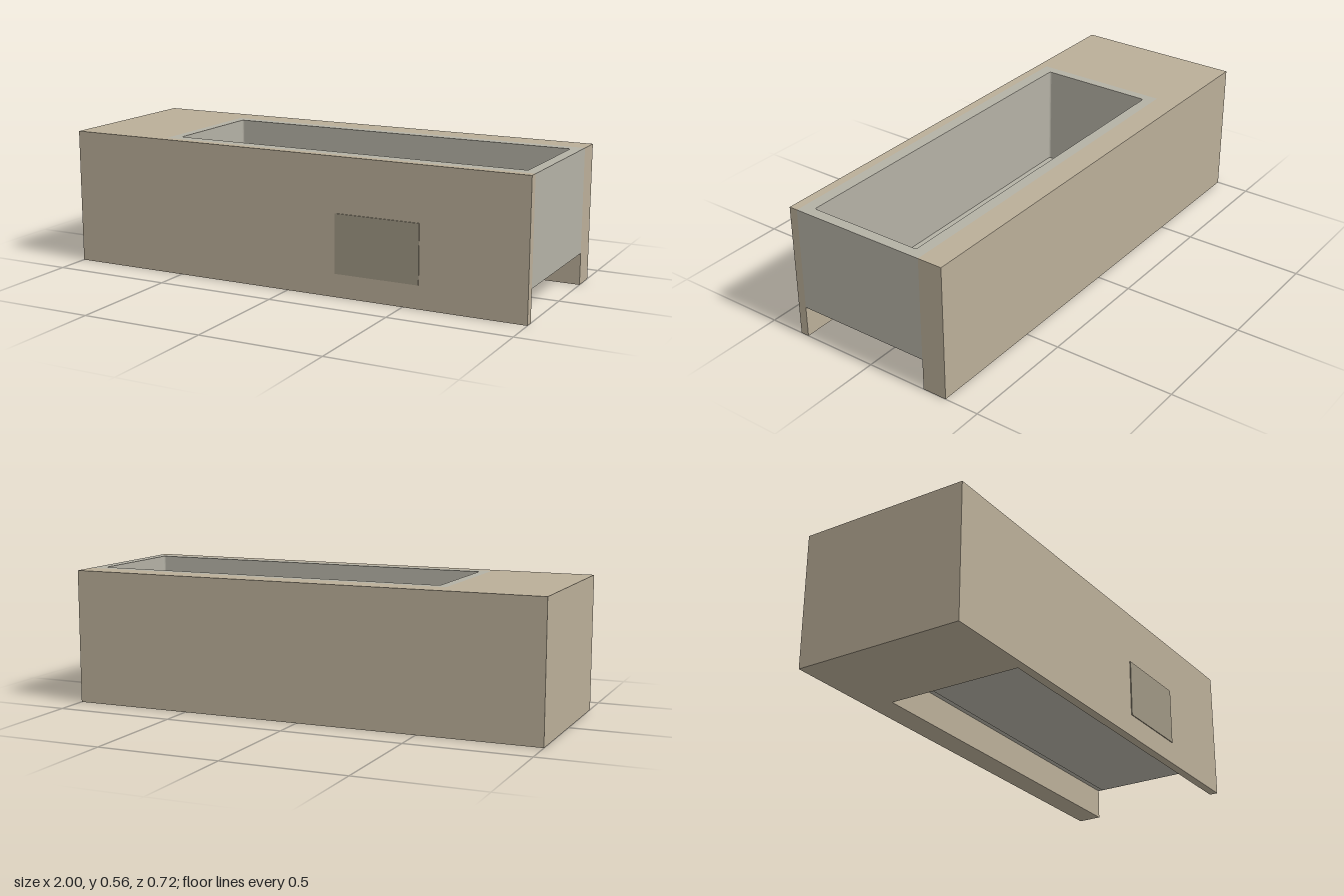
import * as THREE from 'three';

const HEIGHT = 0.558;

// Extrudes a plan drawn in (x, z) upwards from y0 to y1.
function extrudePlan(shape, y0, y1) {
  const geo = new THREE.ExtrudeGeometry(shape, { depth: y1 - y0, bevelEnabled: false, curveSegments: 4 });
  geo.rotateX(-Math.PI / 2);
  geo.translate(0, y0, 0);
  return geo;
}

// Plan points are [x, z]; the shape's second axis is -z.
function plan(points, PathType = THREE.Shape) {
  return new PathType(points.map(([x, z]) => new THREE.Vector2(x, -z)));
}

// Rectangle with small rounded corners, for the basin opening and floor.
function roundedPlan(x0, x1, z0, z1, r, PathType = THREE.Shape) {
  const path = new PathType();
  path.absarc(x1 - r, -z0 - r, r, 0, Math.PI / 2);
  path.absarc(x0 + r, -z0 - r, r, Math.PI / 2, Math.PI);
  path.absarc(x0 + r, -z1 + r, r, Math.PI, Math.PI * 1.5);
  path.absarc(x1 - r, -z1 + r, r, Math.PI * 1.5, Math.PI * 2);
  path.closePath();
  return path;
}

export function createModel() {
  const model = new THREE.Group();
  model.name = 'bathtub';

  const add = (name, geometry, color) => {
    const mesh = new THREE.Mesh(geometry, new THREE.MeshStandardMaterial({ color }));
    mesh.name = name;
    model.add(mesh);
    return mesh;
  };

  // Surround: a block with a slot open at the +x end
  const surround = plan([
    [-1, 0.354], [1, 0.354], [1, 0.318], [-0.58, 0.318],
    [-0.58, -0.255], [1, -0.255], [1, -0.357], [-1, -0.357],
  ]);
  add('surround', extrudePlan(surround, 0, HEIGHT), 0xbaae98);

  // Basin walls, flush with the surround and raised off the ground
  const walls = plan([[-0.58, 0.318], [1, 0.318], [1, -0.255], [-0.58, -0.255]]);
  const opening = [-0.54, 0.955, -0.21, 0.27, 0.008];
  walls.holes.push(roundedPlan(...opening, THREE.Path));
  add('basinWalls', extrudePlan(walls, 0.131, HEIGHT), 0xb4b1a5);

  // Basin floor, sunk slightly below the walls
  add('basinFloor', extrudePlan(roundedPlan(...opening), 0.112, 0.133), 0xb4b1a5);

  // Drain
  const drain = add('drain', new THREE.CylinderGeometry(0.02, 0.02, 0.004, 24), 0x8f8d84);
  drain.position.set(0.835, 0.135, 0.028);

  // Access panel on the front
  const panel = add('accessPanel', new THREE.BoxGeometry(0.354, 0.24, 0.004), 0x9e9683);
  panel.position.set(0.389, 0.215, 0.356);

  return model;
}
